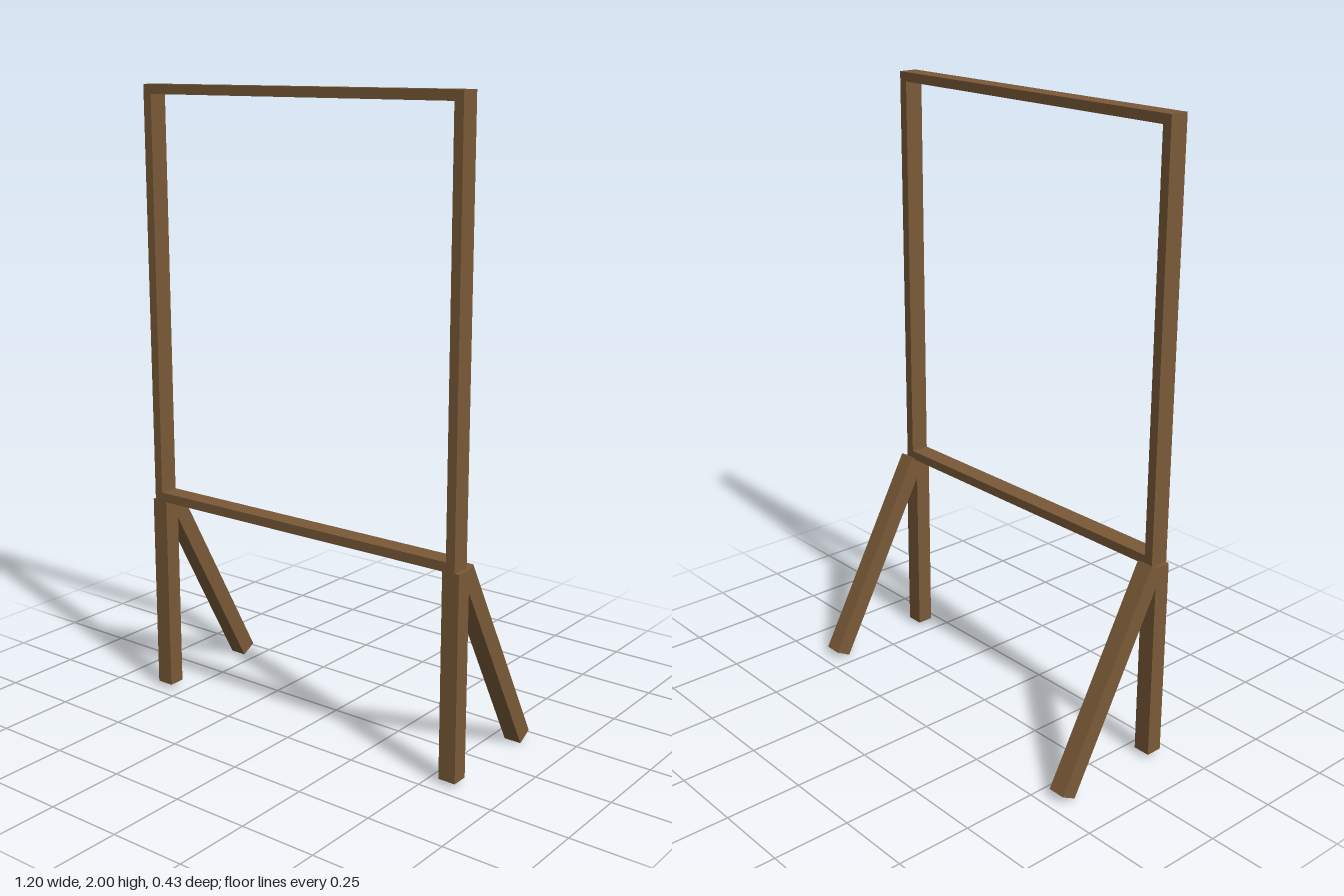
import * as THREE from 'three';

export function createModel() {
  const group = new THREE.Group();
  const wood = new THREE.MeshStandardMaterial({ color: 0x7a5a38 });

  function beam(name, size, position, tilt = 0) {
    const mesh = new THREE.Mesh(new THREE.BoxGeometry(...size), wood);
    mesh.name = name;
    mesh.position.set(...position);
    mesh.rotation.x = tilt;
    group.add(mesh);
  }

  // Open rectangular frame
  const bar = 0.03, depth = 0.063, halfWidth = 0.587, bottom = 0.662, top = 2;
  const frameZ = 0.1815;
  const railLength = 2 * (halfWidth - bar);
  beam('topRail', [railLength, bar, depth], [0, top - bar / 2, frameZ]);
  beam('bottomRail', [railLength, bar, depth], [0, bottom + bar / 2, frameZ]);

  // Uprights, straight front legs and slanted rear braces, mirrored
  for (const [side, s] of [['left', 1], ['right', -1]]) {
    beam(side + 'Upright', [bar, top - bottom, depth],
      [s * (halfWidth - bar / 2), (top + bottom) / 2, frameZ]);
    beam(side + 'FrontLeg', [0.057, 0.648, 0.054], [s * 0.5715, 0.339, 0.183]);
    beam(side + 'RearBrace', [0.057, 0.735, 0.056], [s * 0.5715, 0.337, -0.014],
      THREE.MathUtils.degToRad(28.3));
  }
  return group;
}
